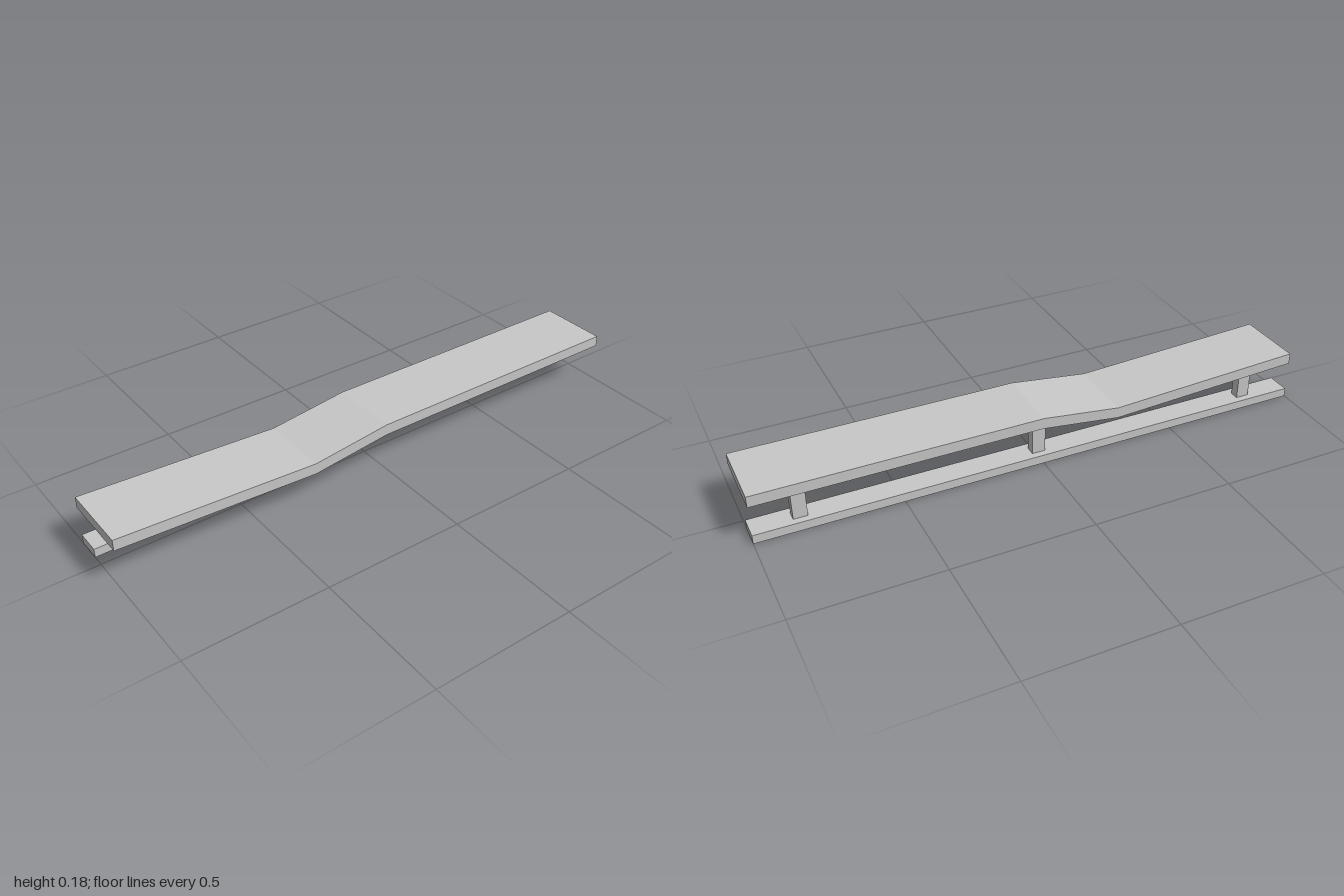
import * as THREE from 'three';

export function createModel() {
  const group = new THREE.Group();
  group.name = 'bench';
  const grey = new THREE.MeshStandardMaterial({ color: 0xc8c8c8 });
  grey.name = 'light grey';

  const add = (name, geometry, x, y, z) => {
    const mesh = new THREE.Mesh(geometry, grey);
    mesh.name = name;
    mesh.position.set(x, y, z);
    group.add(mesh);
  };

  // Bent seat slab: a constant-thickness profile extruded over the depth
  const thickness = 0.04;
  const bends = [[-1, 0.18], [-0.285, 0.144], [0, 0.18], [1, 0.18]];
  const lower = bends.map(([x, y]) => [x, y - thickness]);
  const outline = [...lower, ...bends.slice().reverse()];
  const profile = new THREE.Shape(outline.map(([x, y]) => new THREE.Vector2(x, y)));
  add('seat', new THREE.ExtrudeGeometry(profile, { depth: 0.254, bevelEnabled: false }), 0, 0, -0.127);

  // Ground rail under the back edge
  add('baseRail', new THREE.BoxGeometry(2, 0.032, 0.087), 0, 0.016, -0.0835);

  // Posts between the rail and the underside of the seat
  for (const [x, top] of [[-0.825, 0.135], [0.007, 0.142], [0.839, 0.14]]) {
    const height = top - 0.032;
    add('post', new THREE.BoxGeometry(0.048, height, 0.034), x, 0.032 + height / 2, -0.085);
  }
  return group;
}
